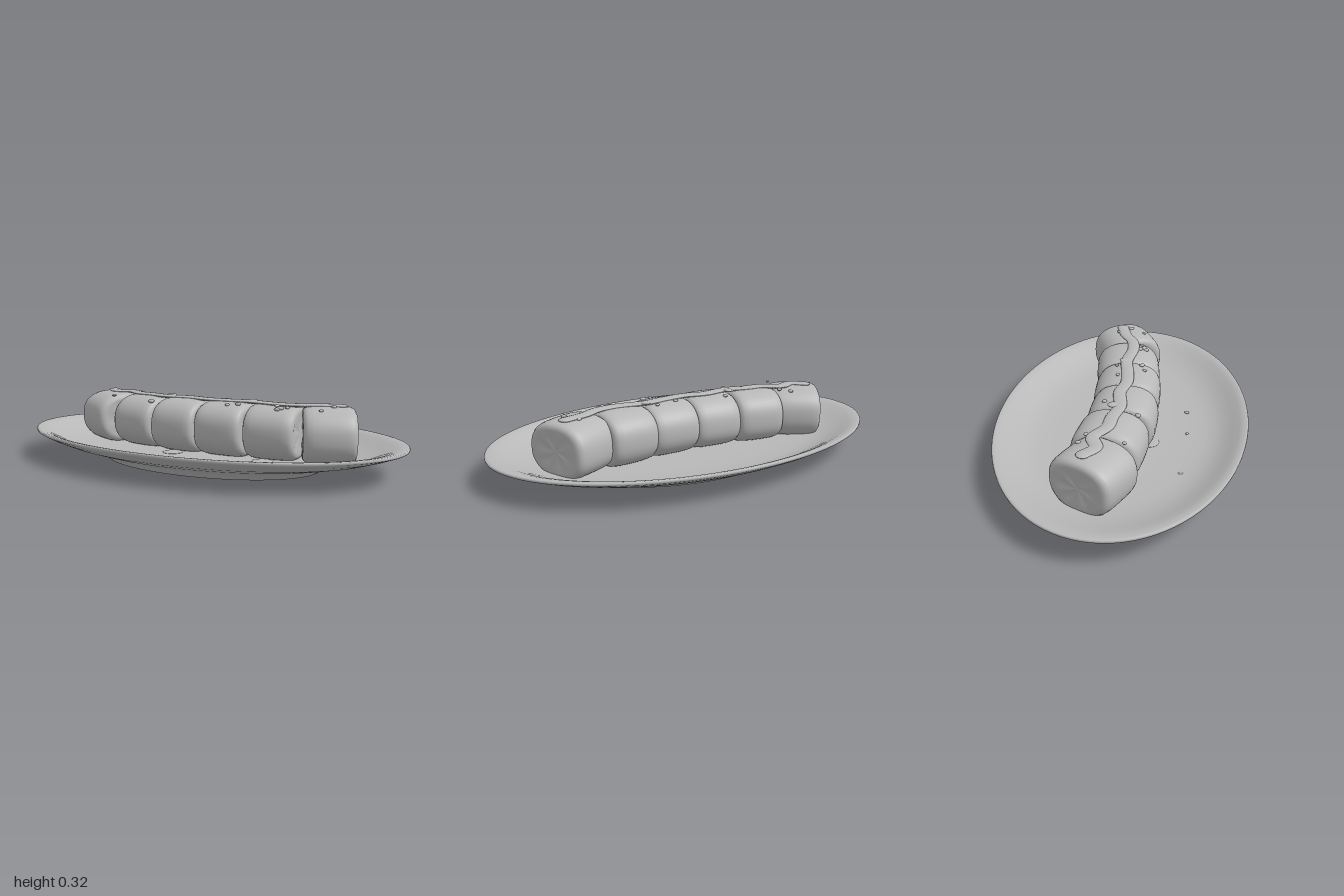
import * as THREE from 'three';

const ceramic = new THREE.MeshStandardMaterial({ color: 0xb8b8b8, side: THREE.DoubleSide });
ceramic.name = 'plain grey';

// Roll slices: x, z, turn about y
const SLICES = [
  [-0.615, -0.055, -0.46], [-0.37, -0.018, -0.13], [-0.122, 0.012, -0.03],
  [0.122, 0.008, 0.03], [0.365, -0.02, 0.13], [0.615, -0.055, 0.46],
];
const HALF_LENGTH = 0.123, HALF_WIDTH = 0.166, HALF_HEIGHT = 0.133, MID_Y = 0.179, POWER = 2.4;

function mesh(geometry, name, parent) {
  const m = new THREE.Mesh(geometry, ceramic);
  m.name = name;
  parent.add(m);
  return m;
}

// Rounded-square section lofted along x, with soft shoulders and puckered ends
function sliceGeometry(seed) {
  const half = [[0.95, 0], [0.96, 0.3], [0.98, 0.55], [1, 0.74], [0.985, 0.83], [0.93, 0.905],
    [0.82, 0.96], [0.6, 0.99], [0.25, 1]];
  const profile = [...half.map(([u, s]) => [-u, s]), ...half.slice().reverse()];
  const n = 48, pos = [], index = [];
  profile.forEach(([u, s], i) => {
    for (let j = 0; j < n; j++) {
      const t = (j / n) * Math.PI * 2, c = Math.cos(t), d = Math.sin(t);
      const onEnd = s > 0.2 && s < 0.7 ? 1 : 0;
      pos.push(u * HALF_LENGTH * (1 - 0.012 * onEnd * (1 + Math.cos(6 * t + seed))),
        Math.sign(d) * Math.abs(d) ** (2 / POWER) * HALF_HEIGHT * s,
        Math.sign(c) * Math.abs(c) ** (2 / POWER) * HALF_WIDTH * s
          * (1 + 0.012 * Math.sin(3 * t + seed * 1.7)));
      if (i < profile.length - 1) {
        const a = i * n + j, b = i * n + (j + 1) % n;
        index.push(a, a + n, b, b, a + n, b + n);
      }
    }
  });
  const g = new THREE.BufferGeometry();
  g.setAttribute('position', new THREE.Float32BufferAttribute(pos, 3));
  g.setIndex(index);
  g.computeVertexNormals();
  return g;
}

// Height of the roll's upper surface at a point
function topY(x, z) {
  let best = SLICES[0];
  for (const s of SLICES) if (Math.abs(s[0] - x) < Math.abs(best[0] - x)) best = s;
  const dx = x - best[0], dz = z - best[1];
  const across = dx * Math.sin(best[2]) + dz * Math.cos(best[2]);
  const k = Math.min(Math.abs(across) / HALF_WIDTH, 0.98);
  return MID_Y + HALF_HEIGHT * (1 - k ** POWER) ** (1 / POWER);
}

// Hollow oval plate with an open foot
function buildPlate() {
  const plate = new THREE.Group();
  plate.name = 'plate';
  plate.scale.z = 0.62;
  const lathe = (pts, name) => mesh(
    new THREE.LatheGeometry(pts.map(([x, y]) => new THREE.Vector2(x, y)), 96), name, plate);
  lathe([[0.58, 0], [0.605, 0.016], [0.63, 0.031], [0.66, 0.04], [0.75, 0.058], [0.86, 0.083],
    [0.94, 0.108], [0.99, 0.127]], 'plateUnderside');
  lathe([[0.99, 0.127], [0.998, 0.131], [1, 0.138], [0.997, 0.143], [0.985, 0.144], [0.96, 0.141],
    [0.93, 0.133], [0.88, 0.113], [0.82, 0.091], [0.75, 0.073], [0.66, 0.061], [0.5, 0.055],
    [0.25, 0.054], [0, 0.054]], 'plateInside');
  return plate;
}

function flatDrop(parent, name, x, y, z, r, flatness) {
  const drop = mesh(new THREE.SphereGeometry(r, 20, 12), name, parent);
  drop.scale.y = flatness;
  drop.position.set(x, y, z);
}

function buildSauce() {
  const sauce = new THREE.Group();
  sauce.name = 'sauce';
  // Wavy flattened ribbon along the top
  const path = [[-0.66, -0.09], [-0.6, -0.045], [-0.52, -0.07], [-0.43, -0.02], [-0.34, -0.01],
    [-0.24, 0.012], [-0.1, -0.005], [0, 0.015], [0.12, 0.005], [0.23, -0.012], [0.38, 0.005],
    [0.48, -0.01], [0.56, -0.055], [0.66, -0.085]];
  const curve = new THREE.CatmullRomCurve3(path.map(([x, z]) => new THREE.Vector3(x, 0, z)));
  const ribbon = mesh(new THREE.TubeGeometry(curve, 120, 0.031, 12), 'sauceRibbon', sauce);
  ribbon.scale.y = 0.28;
  ribbon.position.y = 0.312;
  // Rounded ends and pooled drops on the roll
  const drops = [[-0.66, -0.09, 0.031, 0.312], [0.66, -0.085, 0.031, 0.312],
    [-0.235, -0.022, 0.025, 0.316], [0.235, -0.022, 0.027, 0.316]];
  for (const [x, z, r, y] of drops) flatDrop(sauce, 'sauceDrop', x, y, z, r, 0.28);
  // Drips pooled on the plate beside the roll
  for (const [x, z] of [[-0.125, 0.14], [0.357, 0.109]]) flatDrop(sauce, 'saucePuddle', x, 0.055, z, 0.05, 0.12);
  return sauce;
}

function buildCrumbs() {
  const crumbs = new THREE.Group();
  crumbs.name = 'crumbs';
  // x, z, radius
  const onRoll = [[-0.545, -0.13, 0.011], [-0.49, -0.105, 0.01], [-0.54, 0.07, 0.009], [-0.32, -0.005, 0.011],
    [-0.28, 0.1, 0.013], [-0.187, -0.068, 0.01], [0.08, -0.04, 0.01], [0.155, 0.088, 0.01],
    [0.203, 0.07, 0.012], [0.187, -0.058, 0.009], [0.395, 0.04, 0.012], [0.42, 0.06, 0.014],
    [0.45, 0.045, 0.01], [0.41, 0.072, 0.012], [0.615, 0.04, 0.009], [0.647, -0.035, 0.012], [0.6, -0.1, 0.01]];
  const onPlate = [[-0.38, 0.31, 0.01], [-0.03, 0.322, 0.007], [0.18, 0.31, 0.01]];
  const add = (x, y, z, r, i) => {
    const crumb = mesh(new THREE.SphereGeometry(r, 10, 8), 'crumb', crumbs);
    crumb.scale.set(1, 0.7, 1.25);
    crumb.rotation.y = i * 1.3;
    crumb.position.set(x, y, z);
  };
  onRoll.forEach(([x, z, r], i) => add(x, topY(x, z) + 0.002, z, r, i));
  onPlate.forEach(([x, z, r], i) => add(x, 0.058, z, r, i));
  return crumbs;
}

export function createModel() {
  const model = new THREE.Group();
  model.name = 'slicedRollOnPlate';
  const roll = new THREE.Group();
  roll.name = 'roll';
  SLICES.forEach(([x, z, turn], i) => {
    const slice = mesh(sliceGeometry(i), 'rollSlice', roll);
    slice.position.set(x, MID_Y, z);
    slice.rotation.y = turn;
  });
  model.add(buildPlate(), roll, buildSauce(), buildCrumbs());
  return model;
}
